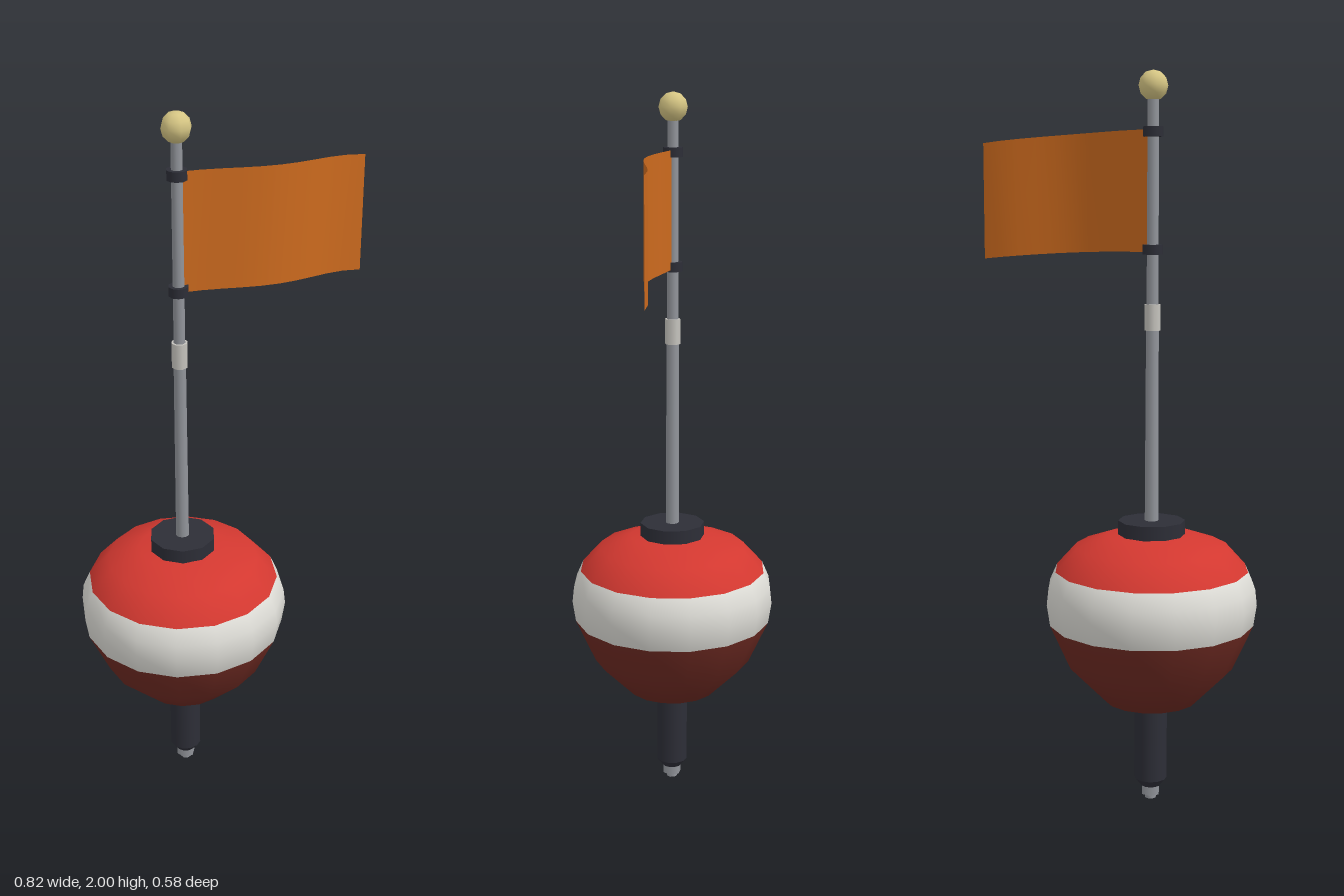
import * as THREE from 'three';

const AXIS_X = -0.12; // the pole and float stand left of centre, the flag fills the right

const paint = (name, color) => {
  const m = new THREE.MeshStandardMaterial({ color });
  m.name = name;
  return m;
};

export function createModel() {
  const red = paint('red', 0xd33830);
  const white = paint('white', 0xdddcd6);
  const darkRed = paint('darkRed', 0x6e2a22);
  const black = paint('black', 0x2d2e37);
  const metal = paint('metal', 0x92959b);
  const paleMetal = paint('paleMetal', 0xc6c4be);
  const brass = paint('brass', 0xd6c684);
  const orange = paint('orange', 0xcc6a1e);
  orange.side = THREE.DoubleSide;

  const model = new THREE.Group();
  model.name = 'markerBuoy';
  const add = (name, geometry, material, x = AXIS_X, y = 0) => {
    const mesh = new THREE.Mesh(geometry, material);
    mesh.name = name;
    mesh.position.set(x, y, 0);
    model.add(mesh);
    return mesh;
  };
  // Upright cylinder between two heights, with a corner on the x axis
  const rod = (name, y0, y1, r0, r1, sides, material) =>
    add(name, new THREE.CylinderGeometry(r1, r0, y1 - y0, sides).rotateY(Math.PI / 2),
      material, AXIS_X, (y0 + y1) / 2);

  // Float: one smooth lathe, with three painted bands
  const profile = [
    [0, 0.275], [0.13, 0.292], [0.227, 0.39], [0.283, 0.515],
    [0.292, 0.575], [0.287, 0.62], [0.267, 0.665], [0.21, 0.728], [0.12, 0.76], [0, 0.765],
  ].map(([r, y]) => new THREE.Vector2(r, y));
  const float = new THREE.LatheGeometry(profile, 16);
  const strip = (profile.length - 1) * 6;
  for (let i = 0; i < 16; i++) {
    float.addGroup(i * strip, 3 * 6, 0);
    float.addGroup(i * strip + 3 * 6, 3 * 6, 1);
    float.addGroup(i * strip + 6 * 6, 3 * 6, 2);
  }
  add('float', float, [darkRed, white, red]);
  rod('collar', 0.745, 0.8, 0.092, 0.092, 10, black);

  // Weighted foot and its nut
  rod('weight', 0.06, 0.29, 0.045, 0.045, 12, black);
  rod('weightTip', 0.038, 0.06, 0.028, 0.045, 12, black);
  rod('nut', 0.012, 0.04, 0.027, 0.027, 6, metal);
  rod('boltEnd', 0, 0.014, 0.016, 0.016, 8, metal);

  // Pole in two sections, joined by a sleeve
  rod('lowerPole', 0.78, 1.36, 0.019, 0.017, 10, metal);
  rod('upperPole', 1.36, 1.94, 0.016, 0.015, 10, metal);
  rod('sleeve', 1.32, 1.39, 0.022, 0.022, 8, paleMetal);
  add('finial', new THREE.SphereGeometry(0.04, 8, 6), brass, AXIS_X, 1.96);

  // Clamps holding the flag
  for (const y of [1.535, 1.842]) rod('flagClamp', y - 0.013, y + 0.013, 0.027, 0.027, 10, black);

  // Flag: a plane that waves and sags toward its free end
  const length = 0.522, height = 0.32;
  const flag = new THREE.PlaneGeometry(length, height, 10, 1).translate(length / 2, 0, 0);
  const p = flag.attributes.position;
  for (let i = 0; i < p.count; i++) {
    const t = p.getX(i) / length;
    p.setY(i, p.getY(i) - 0.027 * t * t);
    p.setZ(i, 0.05 * t * Math.sin(5 * t));
  }
  flag.computeVertexNormals();
  add('flag', flag, orange, AXIS_X + 0.01, 1.688);

  return model;
}
